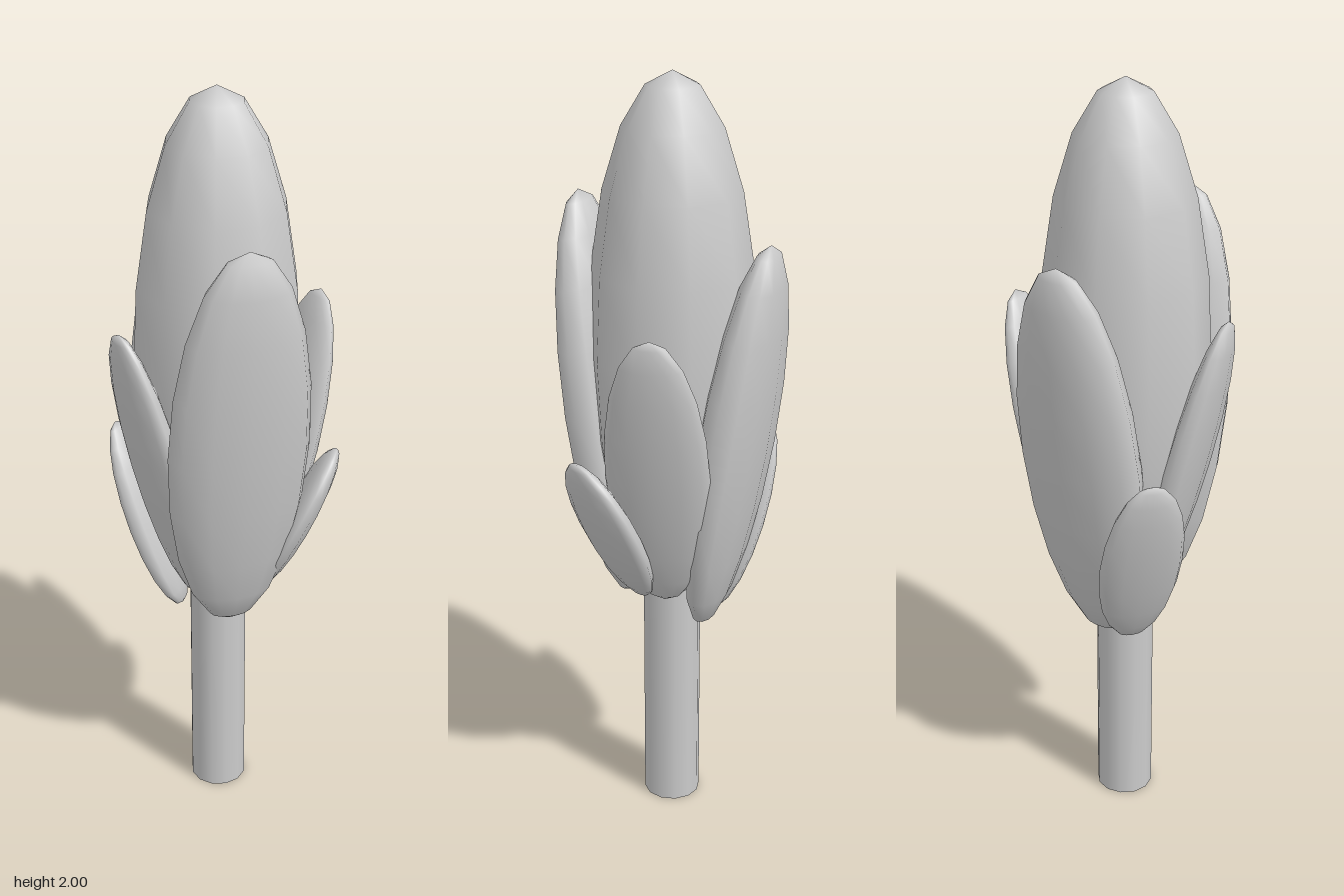
import * as THREE from 'three';

export function createModel() {
  const model = new THREE.Group();
  const material = new THREE.MeshStandardMaterial({ color: 0xcccccc });
  const axisX = -0.02; // the stem and bud stand slightly off centre

  function add(name, geometry, x, y, z) {
    const mesh = new THREE.Mesh(geometry, material);
    mesh.name = name;
    mesh.position.set(x, y, z);
    model.add(mesh);
    return mesh;
  }

  // Stem, running up into the bud
  add('stem', new THREE.CylinderGeometry(0.076, 0.076, 0.8, 12), axisX, 0.4, 0);

  // Tall central bud
  add('bud', new THREE.SphereGeometry(1, 10, 10).scale(0.215, 0.7, 0.215), axisX, 1.3, 0);

  // Flattened petal: heading turns its outer face from +z towards +x, lean tips it outwards
  const petalGeometry = new THREE.SphereGeometry(1, 12, 10);
  function addPetal(name, center, heading, lean, halfSize) {
    const petal = add(name, petalGeometry, ...center);
    petal.scale.set(...halfSize); // width, length, thickness
    petal.rotation.order = 'YXZ';
    petal.rotation.y = THREE.MathUtils.degToRad(heading);
    petal.rotation.x = THREE.MathUtils.degToRad(lean);
  }

  // Large petals
  addPetal('frontPetal', [axisX, 1.145, 0.185], 0, 7.5, [0.183, 0.55, 0.085]);
  addPetal('backPetal', [axisX, 1.075, -0.175], 180, 9, [0.183, 0.535, 0.085]);

  // Medium petals
  addPetal('leftPetal', [0.185, 1.04, -0.05], 103, 14, [0.133, 0.4, 0.048]);
  addPetal('rightPetal', [-0.19, 1.04, 0.04], 285, 14, [0.125, 0.41, 0.048]);

  // Small outer petals
  addPetal('smallFrontPetal', [0.168, 0.86, 0.092], 62, 25, [0.125, 0.23, 0.042]);
  addPetal('smallBackPetal', [-0.172, 0.81, -0.125], 235, 19, [0.11, 0.28, 0.042]);

  return model;
}
